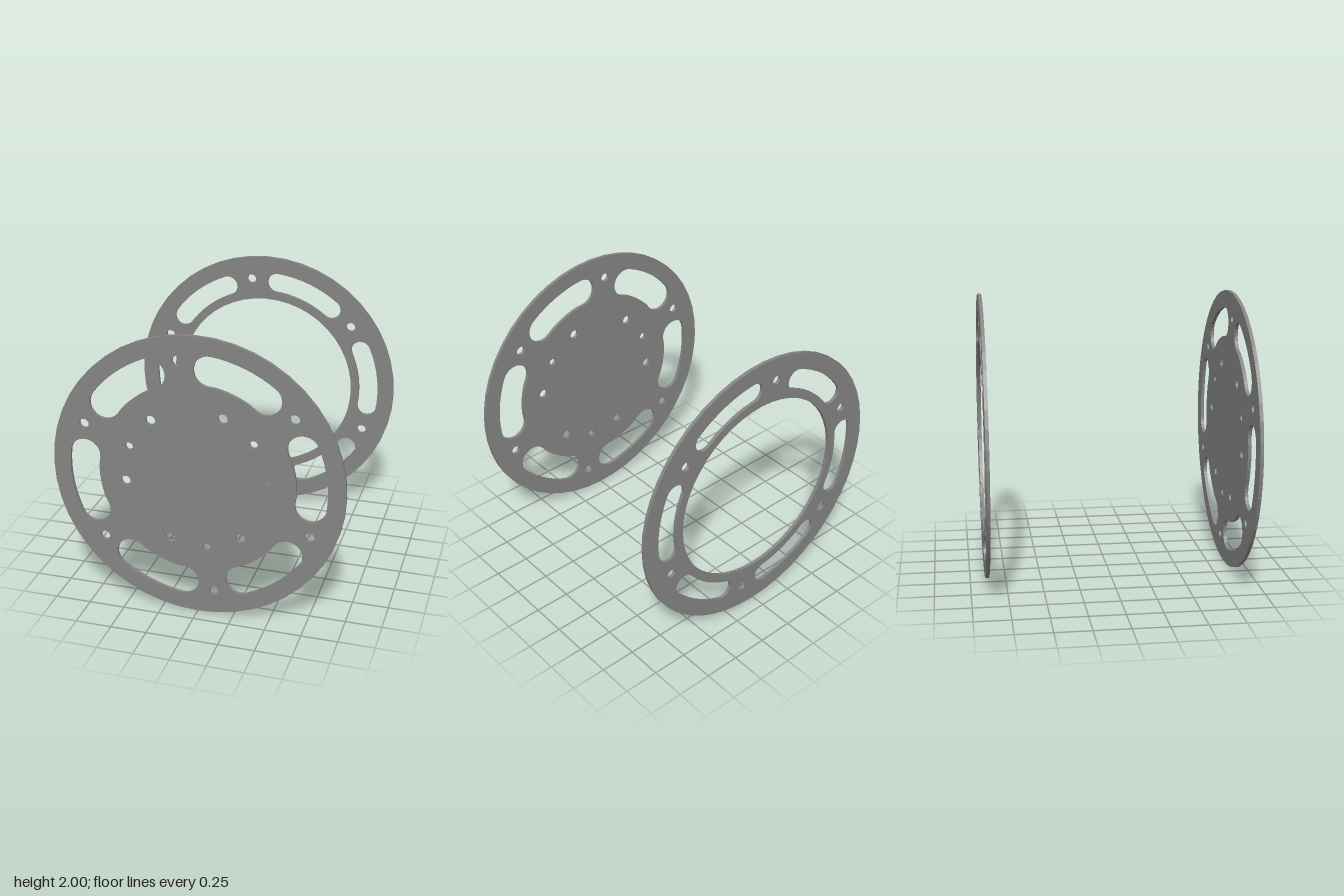
import * as THREE from 'three';

const THICK = 0.024;
const RAD = Math.PI / 180;
const TILT = 8 * RAD; // rotation of the whole hole pattern
const polar = (r, a) => new THREE.Vector2(r * Math.cos(a), r * Math.sin(a));

// points along an arc, end included
function arc(cx, cy, r, a0, a1, n) {
  return Array.from({ length: n + 1 }, (_, i) => {
    const p = polar(r, a0 + ((a1 - a0) * i) / n);
    return new THREE.Vector2(cx + p.x, cy + p.y);
  });
}

const circle = (r, n, c = new THREE.Vector2()) =>
  arc(c.x, c.y, r, 0, Math.PI * 2, n).slice(0, n);

// curved slot: outer arc, round end, inner arc (may be narrower than the ends), round end
function slot(mid, half, outer, capR, inner, innerHalf) {
  const rc = outer - capR;
  const a0 = mid - half, a1 = mid + half;
  const c0 = polar(rc, a0), c1 = polar(rc, a1);
  return [
    ...arc(0, 0, outer, a0, a1, 8),
    ...arc(c1.x, c1.y, capR, a1, a1 + Math.PI, 12).slice(1),
    ...arc(0, 0, inner, mid + innerHalf, mid - innerHalf, 6),
    ...arc(c0.x, c0.y, capR, a0 + Math.PI, a0 + Math.PI * 2, 12).slice(0, -1),
  ];
}

// round holes spread evenly on a bolt circle
function boltHoles(count, pitch, r, start) {
  return Array.from({ length: count }, (_, i) =>
    circle(r, 20, polar(pitch, start + (i * Math.PI * 2) / count)));
}

const slots = (...dims) =>
  Array.from({ length: 6 }, (_, i) => slot(TILT + i * 60 * RAD, ...dims));

function disc(name, holes, z, material) {
  const shape = new THREE.Shape(circle(1, 48));
  shape.holes = holes.map((pts) => new THREE.Path(pts));
  const geometry = new THREE.ExtrudeGeometry(shape, { depth: THICK, bevelEnabled: false });
  geometry.translate(0, 0, -THICK / 2);
  const mesh = new THREE.Mesh(geometry, material);
  mesh.name = name;
  mesh.position.set(0, 1, z);
  return mesh;
}

export function createModel() {
  const group = new THREE.Group();
  group.name = 'slottedDiscs';
  const material = new THREE.MeshStandardMaterial({ color: 0x848484, flatShading: true });
  const rimHoles = boltHoles(6, 0.83, 0.033, TILT + 30 * RAD);

  // solid front plate with wide slots and an inner bolt circle
  group.add(disc('frontPlate', [
    ...rimHoles,
    ...slots(14.9 * RAD, 0.88, 0.105, 0.674, 10 * RAD),
    ...boltHoles(6, 0.494, 0.033, TILT),
    ...boltHoles(3, 0.494, 0.027, TILT + 30 * RAD),
  ], 0.884, material));

  // open back ring with narrow slots
  group.add(disc('backRing', [
    ...rimHoles,
    ...slots(16.2 * RAD, 0.88, 0.072, 0.736, 14.5 * RAD),
    circle(0.674, 48),
  ], -0.884, material));

  return group;
}
